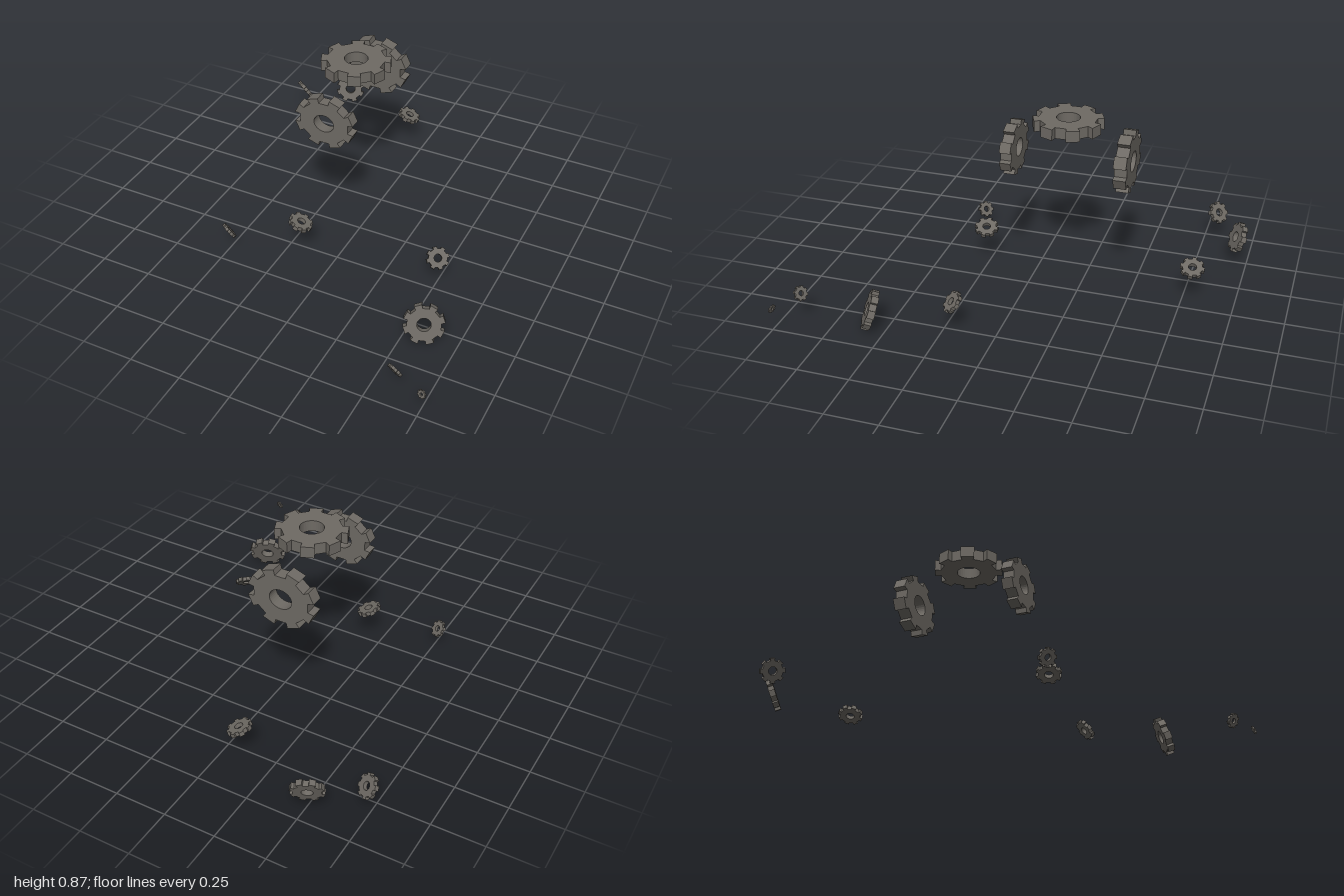
import * as THREE from 'three';

const TEETH = 8;
const STEP = (Math.PI * 2) / TEETH;

// Unit gear lying in XY, axis along z, outer radius 1
function gearGeometry(thickness) {
  const shape = new THREE.Shape();
  const root = 0.82;
  for (let i = 0; i < TEETH; i++) {
    const mid = (i + 0.5) * STEP;
    const half = STEP / 4;
    const corners = [[root, -half], [1, -half], [1, half], [root, half]];
    corners.forEach(([r, a], k) => {
      const x = r * Math.cos(mid + a), y = r * Math.sin(mid + a);
      if (i === 0 && k === 0) shape.moveTo(x, y);
      else shape.lineTo(x, y);
    });
  }
  shape.closePath();
  const hole = new THREE.Path();
  hole.absarc(0, 0, 0.335, 0, Math.PI * 2, true);
  shape.holes.push(hole);
  const geo = new THREE.ExtrudeGeometry(shape, { depth: thickness, bevelEnabled: false, curveSegments: 16 });
  geo.translate(0, 0, -thickness / 2);
  return geo;
}

export function createModel() {
  const group = new THREE.Group();
  group.name = 'floatingGears';
  const metal = new THREE.MeshStandardMaterial({ color: 0x6e6a64 });
  metal.name = 'dark warm metal';
  const geo = gearGeometry(0.36);

  // name, centre, axis direction, radius, vertical squash
  const gears = [
    // large cluster
    ['topGear', [-0.1, 0.844, -0.165], [0, 1, 0], 0.167, 1, 0.9],
    ['frontGear', [-0.12, 0.677, 0.107], [0, 0, 1], 0.151, 0.87, 1],
    ['backGear', [-0.12, 0.679, -0.446], [0, 0, 1], 0.168, 0.87, 1],
    // scattered small gears
    ['looseGear1', [-0.09, 0.175, -0.79], [0.4, 1, -0.1], 0.059, 1, 1],
    ['looseGear2', [-0.18, 0.175, 0.275], [0.4, 1, -0.1], 0.059, 1, 1],
    ['looseGear3', [0.5, 0.155, 0.205], [0.4, 0.6, 0.55], 0.055, 1, 1],
    ['looseGear4', [0.595, 0.1, 0.575], [0.35, 0.35, 0.87], 0.095, 1, 1],
    ['looseGear5', [-0.52, 0.14, -0.945], [0.4, 0.35, 0.85], 0.077, 1, 1],
    ['looseGear6', [-0.735, 0.15, -0.81], [0.5, 0.53, -0.68], 0.057, 1, 1],
    ['looseGear7', [-0.51, 0.095, 0.395], [0.5, 0.53, -0.68], 0.043, 1, 1],
    ['looseGear8', [0.61, 0.135, 0.917], [0.35, 0.45, -0.82], 0.037, 1, 1],
    ['looseGear9', [0.762, 0.13, 0.985], [-0.25, 0.25, 0.93], 0.021, 1, 1],
  ];

  const zAxis = new THREE.Vector3(0, 0, 1);
  for (const [name, centre, axis, radius, squash, thick] of gears) {
    const mesh = new THREE.Mesh(geo, metal);
    mesh.name = name;
    mesh.position.set(...centre);
    mesh.quaternion.setFromUnitVectors(zAxis, new THREE.Vector3(...axis).normalize());
    mesh.scale.set(radius, radius * squash, radius * thick);
    group.add(mesh);
  }
  return group;
}
